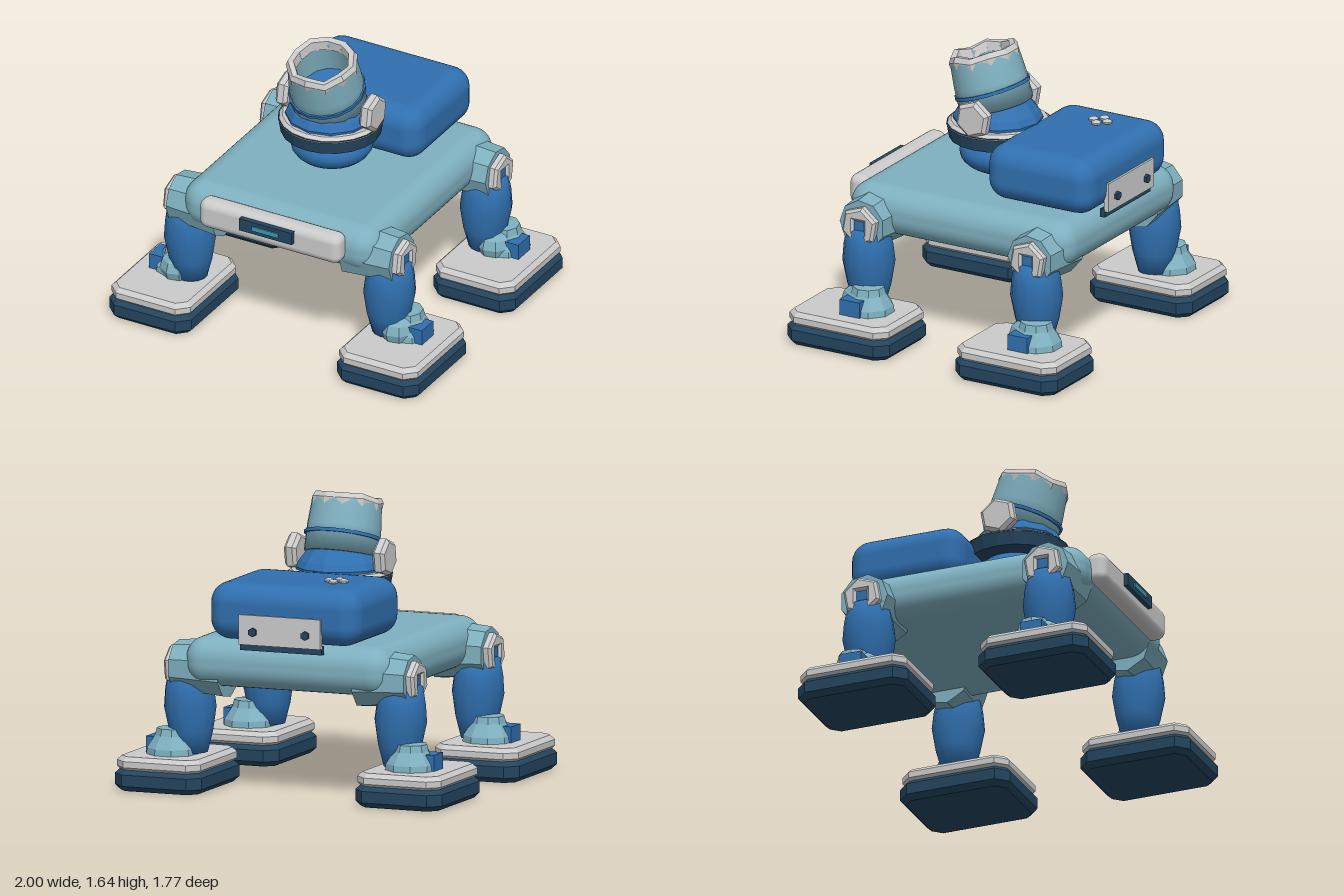
import * as THREE from 'three';
import { RoundedBoxGeometry } from 'three/addons/geometries/RoundedBoxGeometry.js';

const material = (color, flatShading = false) =>
  new THREE.MeshStandardMaterial({ color, flatShading, side: THREE.DoubleSide });
const TEAL = 0x7fb0bf, BLUE = 0x3070b0, NAVY = 0x24455f, GREY = 0xcccccc;

function add(parent, name, geometry, color, [x, y, z], flat = false) {
  const mesh = new THREE.Mesh(geometry, material(color, flat));
  mesh.name = name;
  mesh.position.set(x, y, z);
  parent.add(mesh);
  return mesh;
}

const lathe = (points, sides) =>
  new THREE.LatheGeometry(points.map(([r, y]) => new THREE.Vector2(r, y)), sides);

// Flat slab standing on y = 0 with cut corners and chamfered rims
function slab(w, d, h, cut, bevel) {
  const a = w / 2 - bevel, b = d / 2 - bevel;
  const outline = [[a, -b + cut], [a, b - cut], [a - cut, b], [-a + cut, b],
    [-a, b - cut], [-a, -b + cut], [-a + cut, -b], [a - cut, -b]];
  const shape = new THREE.Shape(outline.map(([x, y]) => new THREE.Vector2(x, y)));
  const g = new THREE.ExtrudeGeometry(shape, {
    depth: h - 2 * bevel, bevelEnabled: true, bevelThickness: bevel, bevelSize: bevel, bevelSegments: 1,
  });
  return g.translate(0, 0, bevel).rotateX(-Math.PI / 2);
}

// Hexagonal ring around the x axis with a square hole
function hexCap(radius, hole, width) {
  const shape = new THREE.Shape();
  for (let i = 0; i < 6; i++) {
    const a = i * Math.PI / 3 + 0.35;
    shape[i ? 'lineTo' : 'moveTo'](radius * Math.cos(a), radius * Math.sin(a));
  }
  if (hole) {
    const path = new THREE.Path();
    path.moveTo(hole, hole).lineTo(hole, -hole).lineTo(-hole, -hole).lineTo(-hole, hole);
    shape.holes.push(path);
  }
  const b = width / 4;
  return new THREE.ExtrudeGeometry(shape, {
    depth: width - 2 * b, bevelThickness: b, bevelSize: b, bevelOffset: -b, bevelSegments: 1,
  }).translate(0, 0, b - width / 2).rotateY(Math.PI / 2);
}

function createLeg(side, end) {
  const leg = new THREE.Group();
  leg.name = (end > 0 ? 'front' : 'rear') + (side > 0 ? 'LeftLeg' : 'RightLeg');
  leg.position.z = end > 0 ? 0.53 : -0.57;

  // Foot
  add(leg, 'sole', slab(0.53, 0.67, 0.125, 0.05, 0.03), NAVY, [side * 0.735, 0, 0.025], true);
  add(leg, 'footTop', slab(0.51, 0.65, 0.085, 0.05, 0.025), GREY, [side * 0.735, 0.11, 0.025], true);

  // Ankle
  add(leg, 'ankle', lathe([[0.15, 0], [0.145, 0.05], [0.1, 0.12], [0.09, 0.16], [0, 0.17]], 9),
    TEAL, [side * 0.73, 0.18, -0.05], true);
  add(leg, 'ankleCollar', new THREE.SphereGeometry(0.125, 9, 6), TEAL, [side * 0.71, 0.24, 0], true)
    .scale.set(0.9, 0.85, 1);
  add(leg, 'ankleBlock', new THREE.BoxGeometry(0.18, 0.1, 0.13), BLUE, [side * 0.79, 0.237, -0.015]);

  // Shin, leaning slightly inward at the foot
  const shin = add(leg, 'shin',
    lathe([[0, 0.2], [0.09, 0.2], [0.125, 0.32], [0.15, 0.46], [0.14, 0.56], [0.12, 0.66], [0, 0.72]], 14),
    BLUE, [side * 0.625, 0, 0]);
  shin.rotation.z = -side * 0.04;

  // Hip drum and its end cap
  const hip = add(leg, 'hip', new THREE.CylinderGeometry(0.145, 0.17, 0.31, 9),
    TEAL, [side * 0.565, 0.69, 0], true);
  hip.rotation.z = -side * Math.PI / 2;
  add(leg, 'hipCap', hexCap(0.118, 0.032, 0.06), GREY, [side * 0.735, 0.69, 0], true);
  add(leg, 'hipBolt', new THREE.BoxGeometry(0.04, 0.07, 0.07), BLUE, [side * 0.73, 0.69, 0]);
  return leg;
}

function createHead() {
  const head = new THREE.Group();
  head.name = 'head';

  // Neck, brim and sloped collar
  add(head, 'neck', new THREE.SphereGeometry(0.235, 24, 14), BLUE, [0, 1.005, 0.05]).scale.y = 0.54;
  add(head, 'brim', new THREE.CylinderGeometry(0.3, 0.285, 0.085, 20), NAVY, [0, 1.13, 0.06], true);
  add(head, 'brimRim', new THREE.CylinderGeometry(0.275, 0.302, 0.025, 20), GREY, [0, 1.178, 0.06], true);
  add(head, 'collar', lathe([[0.25, 0], [0.255, 0.03], [0.235, 0.07], [0.17, 0.15], [0, 0.17]], 12),
    BLUE, [0, 1.175, 0.07], true);

  // Ears
  for (const s of [-1, 1]) {
    add(head, s > 0 ? 'leftEar' : 'rightEar', hexCap(0.112, 0, 0.075), GREY, [s * 0.27, 1.27, 0.065], true);
  }

  // Forward-leaning open cup
  const cup = new THREE.Group();
  cup.name = 'cup';
  cup.position.set(0, 1.27, 0.08);
  cup.rotation.x = 0.28;
  head.add(cup);
  add(cup, 'cupWall', lathe([[0, 0], [0.212, 0], [0.21, 0.15], [0.198, 0.3]], 20), TEAL, [0, 0, 0]);
  add(cup, 'cupLining', lathe([[0.15, 0.06], [0.155, 0.3]], 14), TEAL, [0, 0, 0]);
  add(cup, 'cupFloor', new THREE.CylinderGeometry(0.15, 0.15, 0.02, 14), BLUE, [0, 0.07, 0]);
  const band = add(cup, 'band', new THREE.CylinderGeometry(0.222, 0.222, 0.02, 16), BLUE, [0, 0.1, 0]);
  band.rotation.x = 0.06;

  // Uneven rim
  const rim = lathe([[0.15, -0.03], [0.2, -0.04], [0.206, 0.0], [0.19, 0.03], [0.158, 0.025], [0.15, -0.03]], 11);
  const p = rim.attributes.position;
  for (let i = 0; i < p.count; i++) {
    const a = Math.atan2(p.getX(i), p.getZ(i));
    p.setY(i, p.getY(i) + 0.012 * Math.cos(5 * a));
  }
  add(cup, 'cupRim', rim, GREY, [0, 0.3, 0], true);
  return head;
}

export function createModel() {
  const model = new THREE.Group();
  model.name = 'walker';

  // Body and front bumper
  add(model, 'body', new RoundedBoxGeometry(1.26, 0.28, 1.46, 5, 0.125), TEAL, [0, 0.74, -0.025]);
  add(model, 'bumper', new RoundedBoxGeometry(0.91, 0.18, 0.12, 3, 0.05), GREY, [0, 0.77, 0.725]);
  add(model, 'lampFrame', new THREE.BoxGeometry(0.34, 0.075, 0.04), NAVY, [0, 0.795, 0.79]);
  add(model, 'lamp', new THREE.BoxGeometry(0.17, 0.028, 0.02), 0x3a9bb0, [0, 0.795, 0.808]);

  // Backpack with four studs on top
  add(model, 'backpack', new RoundedBoxGeometry(0.92, 0.325, 0.69, 4, 0.115), BLUE, [0, 1.043, -0.445]);
  for (const [dx, dz] of [[0.045, 0], [-0.045, 0], [0, 0.045], [0, -0.045]]) {
    add(model, 'stud', new THREE.SphereGeometry(0.03, 8, 5), GREY, [-0.21 + dx, 1.213, -0.475 + dz], true)
      .scale.y = 0.5;
  }

  // Rear plate with two bolts
  add(model, 'rearPlate', new THREE.BoxGeometry(0.5, 0.17, 0.03), GREY, [0, 0.955, -0.788]);
  add(model, 'rearPlateEdge', new THREE.BoxGeometry(0.5, 0.05, 0.03), NAVY, [0, 0.86, -0.765]);
  for (const s of [-1, 1]) {
    const bolt = add(model, 'rearBolt', new THREE.CylinderGeometry(0.026, 0.026, 0.025, 6),
      NAVY, [s * 0.16, 0.945, -0.808], true);
    bolt.rotation.x = Math.PI / 2;
  }

  model.add(createHead());
  for (const side of [-1, 1]) for (const end of [-1, 1]) model.add(createLeg(side, end));
  return model;
}
